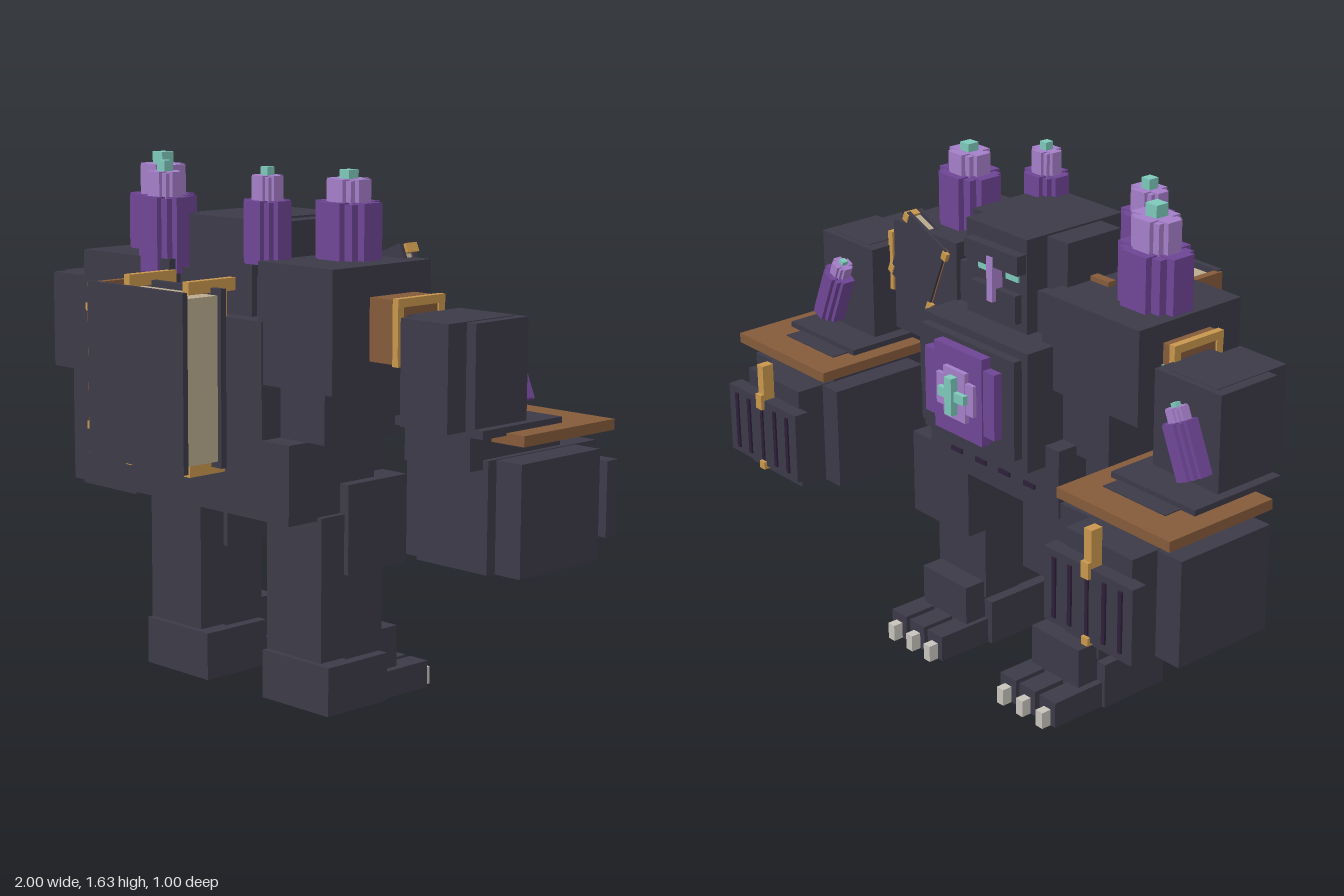
import * as THREE from 'three';

const mat = (name, color) => {
  const m = new THREE.MeshStandardMaterial({ color });
  m.name = name;
  return m;
};

export function createModel() {
  const stone = mat('dark stone', 0x3c3a48);
  const brown = mat('brown leather', 0x855a3a);
  const gold = mat('gold', 0xc9974d);
  const paper = mat('paper', 0xbcab90);
  const purple = mat('purple crystal', 0x6f4596);
  const light = mat('light crystal', 0xa57fc9);
  const teal = mat('teal glow', 0x7ec9bb);
  const claw = mat('claw', 0xc8c4bc);
  const slit = mat('dark slit', 0x2c2038);

  const root = new THREE.Group();
  root.name = 'golem';
  const group = (name, parent = root) => {
    const g = new THREE.Group();
    g.name = name;
    parent.add(g);
    return g;
  };
  // box from its extents along each axis
  const box = (parent, name, m, x0, x1, y0, y1, z0, z1) => {
    const mesh = new THREE.Mesh(new THREE.BoxGeometry(Math.abs(x1 - x0), y1 - y0, z1 - z0), m);
    mesh.position.set((x0 + x1) / 2, (y0 + y1) / 2, (z0 + z1) / 2);
    mesh.name = name;
    parent.add(mesh);
  };
  // stepped block with a cross-shaped plan
  const crossBlock = (parent, name, m, rx, rz, y0, y1) => {
    for (const [a, b, d] of [[1, 0.45, 0], [0.45, 1, 0], [0.75, 0.75, 0.004]])
      box(parent, name, m, -rx * a, rx * a, y0, y1 - d, -rz * b, rz * b);
  };

  // torso
  const torso = group('torso');
  box(torso, 'torsoCore', stone, -0.44, 0.435, 0.83, 1.3, -0.1, 0.22);
  box(torso, 'backBlock', stone, -0.26, 0.25, 0.825, 1.18, 0.1, 0.295);
  box(torso, 'waist', stone, -0.406, 0.364, 0.59, 0.83, -0.06, 0.295);
  box(torso, 'belly', stone, -0.3, 0.3, 0.64, 0.86, -0.17, 0.1);
  box(torso, 'rightShoulder', stone, -0.6, -0.19, 1.03, 1.325, -0.14, 0.265);
  box(torso, 'leftShoulder', stone, 0.23, 0.535, 0.995, 1.355, -0.115, 0.29);
  box(torso, 'chest', stone, -0.24, 0.24, 0.79, 1.17, -0.24, 0);
  box(torso, 'chestPlate', stone, -0.215, 0.215, 0.83, 1.145, -0.27, -0.2);
  for (const x of [-0.17, -0.055, 0.055, 0.17])
    box(torso, 'bellySlit', slit, x - 0.025, x + 0.025, 0.7, 0.715, -0.176, -0.168);
  box(torso, 'neckBar', brown, -0.29, 0.29, 1.3, 1.34, 0.03, 0.06);

  // glowing chest crystal, stepped outward
  const core = group('chestCrystal');
  box(core, 'crystalBase', purple, -0.16, 0.16, 0.885, 1.095, -0.3, -0.26);
  box(core, 'crystalBase', purple, -0.11, 0.11, 0.85, 1.13, -0.305, -0.26);
  box(core, 'crystalMiddle', light, -0.085, 0.085, 0.94, 1.04, -0.318, -0.3);
  box(core, 'crystalMiddle', light, -0.05, 0.05, 0.91, 1.07, -0.32, -0.3);
  box(core, 'glow', teal, -0.06, 0.06, 0.975, 1.005, -0.335, -0.31);
  box(core, 'glow', teal, -0.016, 0.016, 0.93, 1.05, -0.345, -0.31);

  // hump and head
  const head = group('head');
  box(head, 'hump', stone, -0.213, 0.213, 1.15, 1.46, -0.06, 0.15);
  box(head, 'skull', stone, -0.125, 0.15, 1.15, 1.466, -0.14, 0.24);
  box(head, 'brow', stone, -0.12, 0.12, 1.36, 1.42, -0.175, -0.12);
  box(head, 'jaw', stone, -0.1, 0.1, 1.2, 1.29, -0.165, -0.1);
  box(head, 'nose', light, -0.013, 0.013, 1.25, 1.39, -0.18, -0.13);
  for (const s of [-1, 1])
    box(head, 'eye', teal, s * 0.035, s * 0.09, 1.325, 1.35, -0.146, -0.138);

  // shoulder crystals: x, z, rx, rz, bottom, middle, top, tip
  for (const [x, z, rx, rz, y0, y1, y2, y3] of [
    [-0.47, 0.045, 0.115, 0.088, 1.31, 1.495, 1.59, 1.628],
    [-0.27, 0.21, 0.088, 0.068, 1.28, 1.51, 1.585, 1.618],
    [0.185, 0.21, 0.072, 0.06, 1.34, 1.525, 1.597, 1.622],
    [0.355, 0.045, 0.1, 0.083, 1.34, 1.522, 1.588, 1.614]]) {
    const g = group('shoulderCrystal');
    g.position.set(x, 0, z);
    crossBlock(g, 'crystalBase', purple, rx, rz, y0, y1);
    crossBlock(g, 'crystalTop', light, rx * 0.66, rz * 0.68, y1 - 0.01, y2);
    box(g, 'crystalTip', teal, -rx * 0.2, rx * 0.2, y2 - 0.01, y3, -rx * 0.2, rx * 0.2);
  }

  // arms and legs, built for +x and repeated on the other side
  for (const s of [1, -1]) {
    const b = (parent, name, m, x0, x1, ...rest) =>
      box(parent, name, m, s * x0, s * x1, ...rest);
    const arm = group(s > 0 ? 'leftArm' : 'rightArm');
    b(arm, 'shoulderJoint', brown, 0.45, 0.645, 1.08, 1.265, -0.045, 0.14);
    b(arm, 'jointGlow', teal, 0.59, 0.615, 1.16, 1.2, -0.05, -0.044);
    // gold frame on the joint's outer face
    b(arm, 'jointFrame', gold, 0.63, 0.652, 1.245, 1.27, -0.05, 0.145);
    b(arm, 'jointFrame', gold, 0.63, 0.652, 1.075, 1.1, -0.05, 0.145);
    for (const z of [-0.05, 0.12])
      b(arm, 'jointFrame', gold, 0.63, 0.651, 1.1, 1.245, z, z + 0.025);
    b(arm, 'forearm', stone, 0.645, 0.905, 0.9, 1.222, -0.12, 0.1);
    b(arm, 'forearmBack', stone, 0.69, 0.87, 0.915, 1.224, -0.1, 0.175);
    b(arm, 'cuffPlate', stone, 0.6, 0.935, 0.9, 0.925, -0.24, 0.1);
    b(arm, 'wrist', stone, 0.63, 0.88, 0.8, 0.91, -0.3, 0.09);
    b(arm, 'cuffBoard', brown, 0.547, 1, 0.875, 0.907, -0.4, 0);
    b(arm, 'fist', stone, 0.555, 0.993, 0.495, 0.825, -0.345, 0);
    b(arm, 'fistCore', stone, 0.63, 0.9, 0.497, 0.827, -0.44, 0.035);
    b(arm, 'fingerPlate', stone, 0.59, 0.95, 0.54, 0.77, -0.485, -0.435);
    for (const x of [0.635, 0.7, 0.84, 0.905])
      b(arm, 'fingerSlit', slit, x - 0.007, x + 0.007, 0.56, 0.75, -0.491, -0.483);
    b(arm, 'plateSeam', slit, 0.764, 0.776, 0.56, 0.77, -0.49, -0.483);
    b(arm, 'clasp', gold, 0.755, 0.785, 0.78, 0.887, -0.485, -0.445);
    b(arm, 'clasp', gold, 0.755, 0.785, 0.74, 0.79, -0.497, -0.445);
    b(arm, 'claspFoot', gold, 0.757, 0.783, 0.53, 0.555, -0.495, -0.45);

    // leaning crystal on the cuff
    const shard = group('armCrystal', arm);
    shard.position.set(s * 0.8, 1.065, -0.15);
    shard.rotation.z = s * 0.4;
    crossBlock(shard, 'shardBase', purple, 0.05, 0.05, -0.11, 0.055);
    crossBlock(shard, 'shardTop', light, 0.032, 0.032, 0.05, 0.095);
    box(shard, 'shardTip', teal, -0.01, 0.01, 0.09, 0.108, -0.01, 0.01);

    const leg = group(s > 0 ? 'leftLeg' : 'rightLeg');
    b(leg, 'thigh', stone, 0.13, 0.4, 0.415, 0.69, -0.163, 0.085);
    b(leg, 'shin', stone, 0.15, 0.383, 0.16, 0.6, -0.078, 0.18);
    b(leg, 'ankle', stone, 0.16, 0.375, 0.04, 0.215, -0.153, 0.07);
    b(leg, 'heel', stone, 0.125, 0.41, 0, 0.15, -0.075, 0.176);
    for (const x of [0.18, 0.27, 0.362]) {
      b(leg, 'toe', stone, x - 0.036, x + 0.036, 0, 0.085, -0.268, -0.06);
      b(leg, 'claw', claw, x - 0.015, x + 0.015, 0, 0.055, -0.302, -0.26);
    }
  }

  // large book strapped to the back
  const book = group('backBook');
  box(book, 'outerCover', stone, -0.297, 0.135, 0.737, 1.27, 0.48, 0.498);
  box(book, 'innerCover', stone, -0.297, 0.135, 0.737, 1.27, 0.33, 0.35);
  box(book, 'pages', paper, -0.285, 0.12, 0.757, 1.25, 0.35, 0.48);
  box(book, 'spine', brown, -0.305, -0.28, 0.742, 1.265, 0.335, 0.492);
  for (const y of [0.83, 1.19])
    box(book, 'spineBand', gold, -0.31, -0.28, y - 0.012, y + 0.012, 0.33, 0.495);
  for (const x of [-0.188, 0.077]) {
    box(book, 'strapTop', gold, x - 0.013, x + 0.013, 1.255, 1.293, 0.25, 0.435);
    box(book, 'strapBottom', gold, x - 0.013, x + 0.013, 0.715, 0.752, 0.28, 0.435);
    box(book, 'strapBack', gold, x - 0.013, x + 0.013, 0.73, 1.28, 0.285, 0.325);
  }

  // small closed books at the hip and the shoulder
  const smallBook = (name, w, h, t) => {
    const g = group(name);
    box(g, 'cover', stone, -w / 2, w / 2, -h / 2, h / 2, -t / 2, -t / 2 + 0.014);
    box(g, 'cover', stone, -w / 2, w / 2, -h / 2, h / 2, t / 2 - 0.014, t / 2);
    box(g, 'pages', paper, -w / 2 + 0.01, w / 2 - 0.01, -h / 2 + 0.012, h / 2 - 0.012, -t / 2 + 0.01, t / 2 - 0.01);
    box(g, 'spine', brown, -w / 2 - 0.004, -w / 2 + 0.012, -h / 2, h / 2, -t / 2 + 0.008, t / 2 - 0.008);
    for (const sy of [-1, 1]) for (const sx of [-1, 1])
      box(g, 'corner', gold, sx * w / 2 - 0.014, sx * w / 2 + 0.008, sy * (h / 2 - 0.018) - 0.014, sy * (h / 2 - 0.018) + 0.014, -t / 2 - 0.004, t / 2 - 0.016);
    return g;
  };
  const hip = smallBook('hipBook', 0.18, 0.28, 0.08);
  hip.position.set(-0.425, 0.66, -0.07);
  hip.rotation.set(0, Math.PI / 2, 0.35, 'ZYX');
  const shoulderBook = smallBook('shoulderBook', 0.2, 0.24, 0.06);
  shoulderBook.position.set(0.41, 1.25, -0.095);
  shoulderBook.rotation.z = 0.4;

  return root;
}
